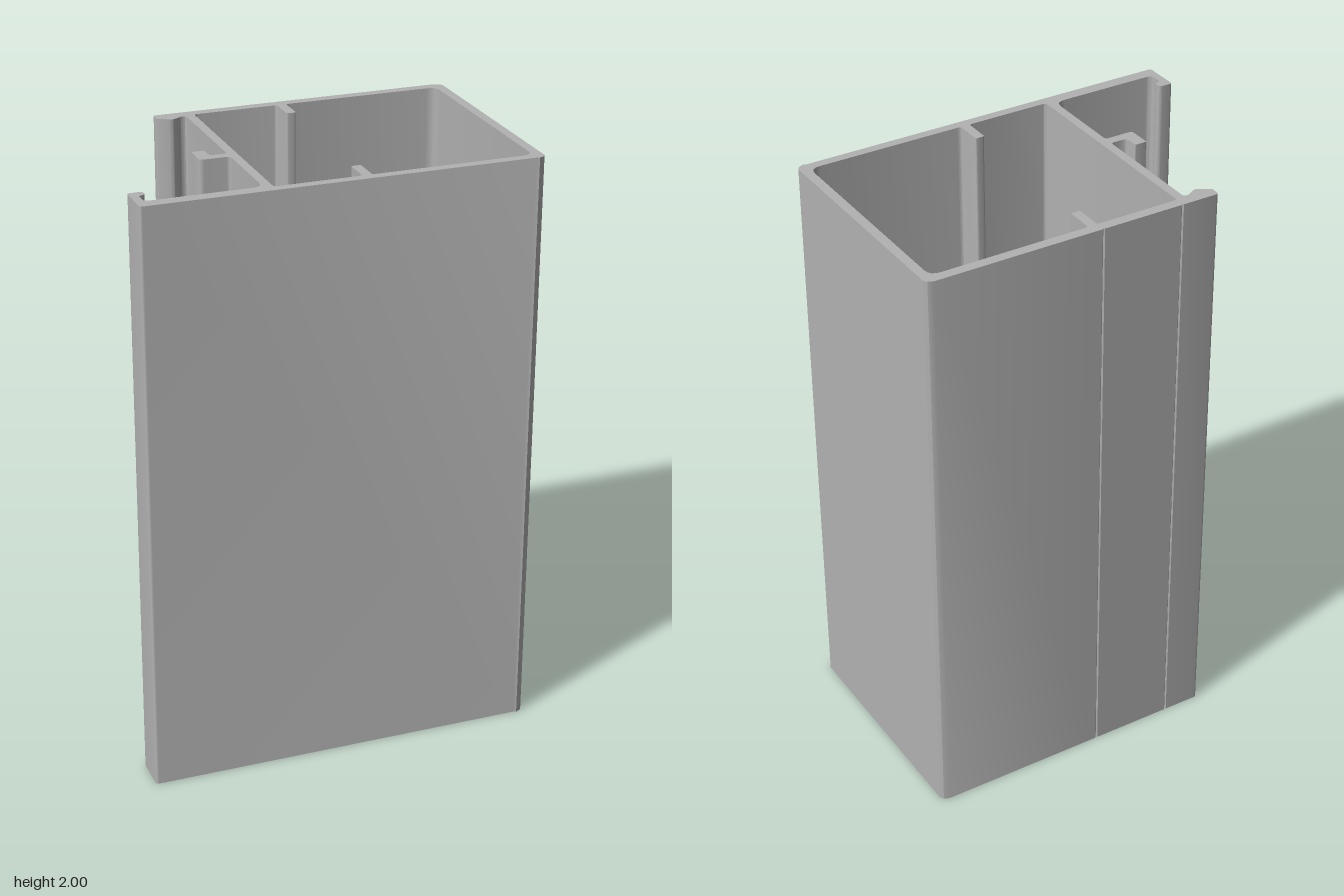
import * as THREE from 'three';
import { toCreasedNormals } from 'three/addons/utils/BufferGeometryUtils.js';

const HEIGHT = 2;

// Trace a closed outline of [x, z, cornerRadius] points, rounding each corner.
function trace(path, points) {
  const n = points.length;
  points.forEach(([x, z, r = 0], i) => {
    const toward = ([px, pz]) => {
      const d = Math.hypot(px - x, pz - z);
      const t = Math.min(r, d * 0.5) / d;
      return [x + (px - x) * t, z + (pz - z) * t];
    };
    const a = toward(points[(i + n - 1) % n]);
    const b = toward(points[(i + 1) % n]);
    if (i === 0) path.moveTo(...a);
    else path.lineTo(...a);
    if (r > 0) path.quadraticCurveTo(x, z, ...b);
  });
  path.closePath();
  return path;
}

// Small V-groove scored in the back face
const groove = (x) => [[x - 0.004, -0.415], [x, -0.411], [x + 0.004, -0.415]];

export function createModel() {
  const aluminium = new THREE.MeshStandardMaterial({ color: 0xb2b2b2 });
  aluminium.name = 'aluminium grey';

  const profile = trace(new THREE.Shape(), [
    // back wall and right corners
    [-0.36, -0.415, 0.01], ...groove(-0.228), ...groove(0.055),
    [0.635, -0.415], [0.652, -0.407], [0.66, -0.395],
    [0.66, 0.395], [0.652, 0.407], [0.635, 0.415], [0.625, 0.411],
    // front wall and its hooked lip
    [-0.66, 0.411, 0.01], [-0.66, 0.285, 0.006], [-0.612, 0.285, 0.012],
    [-0.612, 0.313, 0.01], [-0.634, 0.318, 0.01], [-0.634, 0.368, 0.02],
    [-0.26, 0.368, 0.035],
    // middle hook on the dividing wall
    [-0.26, 0.067, 0.012], [-0.36, 0.067, 0.014], [-0.36, -0.016, 0.004],
    [-0.318, -0.016, 0.004], [-0.318, 0.034, 0.018], [-0.26, 0.034, 0.012],
    // thickened edge of the back wall
    [-0.26, -0.372, 0.015], [-0.278, -0.372, 0.005], [-0.312, -0.352, 0.012],
    [-0.36, -0.38, 0.005],
  ]);

  // Hollow chamber with a pair of inner ribs
  const rib = (z, tip) => [
    [0.057, z, 0.01], [0.057, tip, 0.006], [0.089, tip, 0.006], [0.089, z, 0.01],
  ];
  profile.holes.push(trace(new THREE.Path(), [
    [-0.23, -0.38, 0.012], ...rib(-0.38, -0.284),
    [0.628, -0.38, 0.035], [0.628, 0.379, 0.035],
    ...rib(0.379, 0.284).reverse(), [-0.23, 0.379, 0.012],
  ]));

  const extrusion = new THREE.ExtrudeGeometry(profile, {
    depth: HEIGHT, bevelEnabled: false, curveSegments: 4,
  });
  extrusion.rotateX(Math.PI / 2).translate(0, HEIGHT, 0);

  const mesh = new THREE.Mesh(toCreasedNormals(extrusion, 0.5), aluminium);
  mesh.name = 'extrudedFrameProfile';
  const group = new THREE.Group();
  group.name = 'framePost';
  group.add(mesh);
  return group;
}
